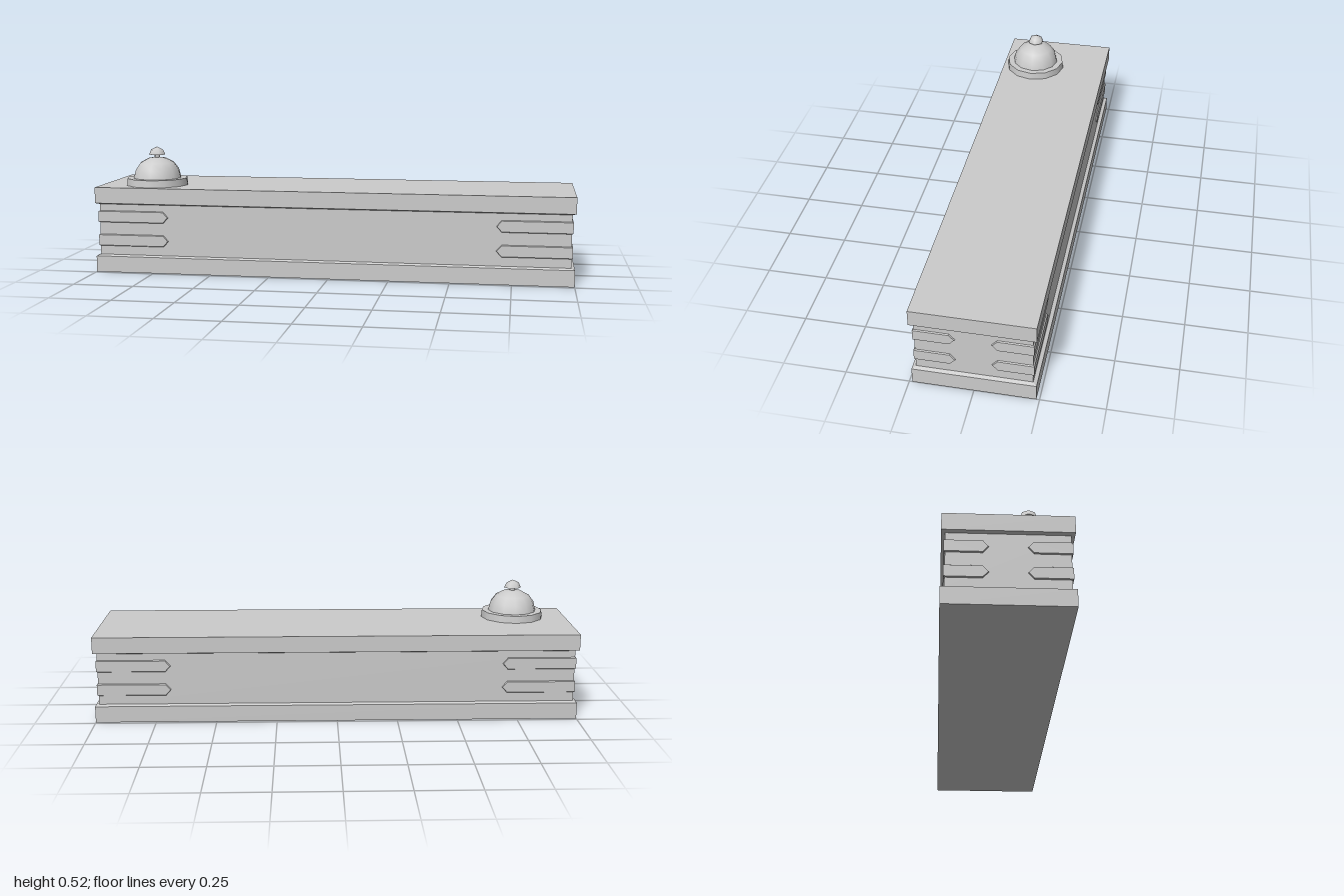
import * as THREE from 'three';

const material = new THREE.MeshStandardMaterial({ color: 0xcccccc });

// Flat-shaded skin through cross-sections that all have the same number of points
function loft(sections, closed) {
  const pos = [];
  for (let i = 0; i + 1 < sections.length; i++) {
    const a = sections[i], b = sections[i + 1], n = a.length;
    for (let j = 0; j < (closed ? n : n - 1); j++) {
      const k = (j + 1) % n;
      pos.push(...a[j], ...a[k], ...b[k], ...a[j], ...b[k], ...b[j]);
    }
  }
  const geo = new THREE.BufferGeometry();
  geo.setAttribute('position', new THREE.Float32BufferAttribute(pos, 3));
  geo.computeVertexNormals();
  return geo;
}

function add(parent, name, geo) {
  const mesh = new THREE.Mesh(geo, material);
  mesh.name = name;
  parent.add(mesh);
  return mesh;
}

const HX = 1, HZ = 0.238, RECESS = 0.015;

// Counter: plinth, recessed body and top slab with small chamfers between them
function counterGeometry() {
  const ring = (hx, hz, y) => [[hx, y, hz], [hx, y, -hz], [-hx, y, -hz], [-hx, y, hz]];
  const profile = [[0, 0], [0, 0.068], [RECESS, 0.074], [RECESS, 0.29], [0, 0.295], [0, 0.362]];
  return loft([
    ring(0, 0, 0),
    ...profile.map(([inset, y]) => ring(HX - inset, HZ - inset, y)),
    ring(0, 0, 0.362),
  ], true);
}

// Bevelled band with pointed ends, wrapped round one corner of the body
function bandGeometry(sx, sz, y) {
  const half = 0.025, bevel = 0.003, proud = 0.005;
  const bx = HX - RECESS, bz = HZ - RECESS;
  const station = (x, z, nx, nz, h, tip) => {
    const inset = tip ? 0 : bevel;
    // on a point the outer edge steps back along the band
    const ox = x + nx * proud + (tip && nz ? bevel : 0);
    const oz = z + nz * proud + (tip && nx ? bevel : 0);
    return [
      [sx * x, y - h, sz * z], [sx * ox, y - h + inset, sz * oz],
      [sx * ox, y + h - inset, sz * oz], [sx * x, y + h, sz * z],
    ];
  };
  const stations = [
    station(bx, 0.068, 1, 0, 0, true),
    station(bx, 0.09, 1, 0, half, false),
    station(bx, bz, 1, 1, half, false),
    station(0.707, bz, 0, 1, half, false),
    station(0.685, bz, 0, 1, 0, true),
  ];
  if (sx * sz < 0) stations.reverse();
  return loft(stations, false);
}

const lathe = (points, sides) =>
  new THREE.LatheGeometry(points.map(([r, y]) => new THREE.Vector2(r, y)), sides);

export function createModel() {
  const model = new THREE.Group();
  model.name = 'counterWithBell';
  add(model, 'counter', counterGeometry());

  // Two bands on each corner
  const bands = new THREE.Group();
  bands.name = 'cornerBands';
  model.add(bands);
  for (const sx of [-1, 1])
    for (const sz of [-1, 1])
      for (const y of [0.136, 0.237])
        add(bands, 'cornerBand', bandGeometry(sx, sz, y));

  // Desk bell
  const bell = new THREE.Group();
  bell.name = 'bell';
  bell.position.set(-0.77, 0.362, 0.089);
  model.add(bell);
  add(bell, 'bellBase', new THREE.CylinderGeometry(0.13, 0.133, 0.03, 12)).position.y = 0.015;
  add(bell, 'bellDome', lathe(
    [[0.103, 0.03], [0.094, 0.066], [0.073, 0.095], [0.038, 0.114], [0, 0.119]], 12));
  const stem = add(bell, 'bellStem', new THREE.CylinderGeometry(0.0125, 0.0125, 0.025, 6));
  stem.position.y = 0.122;
  const button = add(bell, 'bellButton', lathe(
    [[0, 0.129], [0.036, 0.129], [0.036, 0.129], [0.027, 0.15], [0, 0.163]], 6));
  stem.rotation.y = button.rotation.y = Math.PI / 2;
  return model;
}
